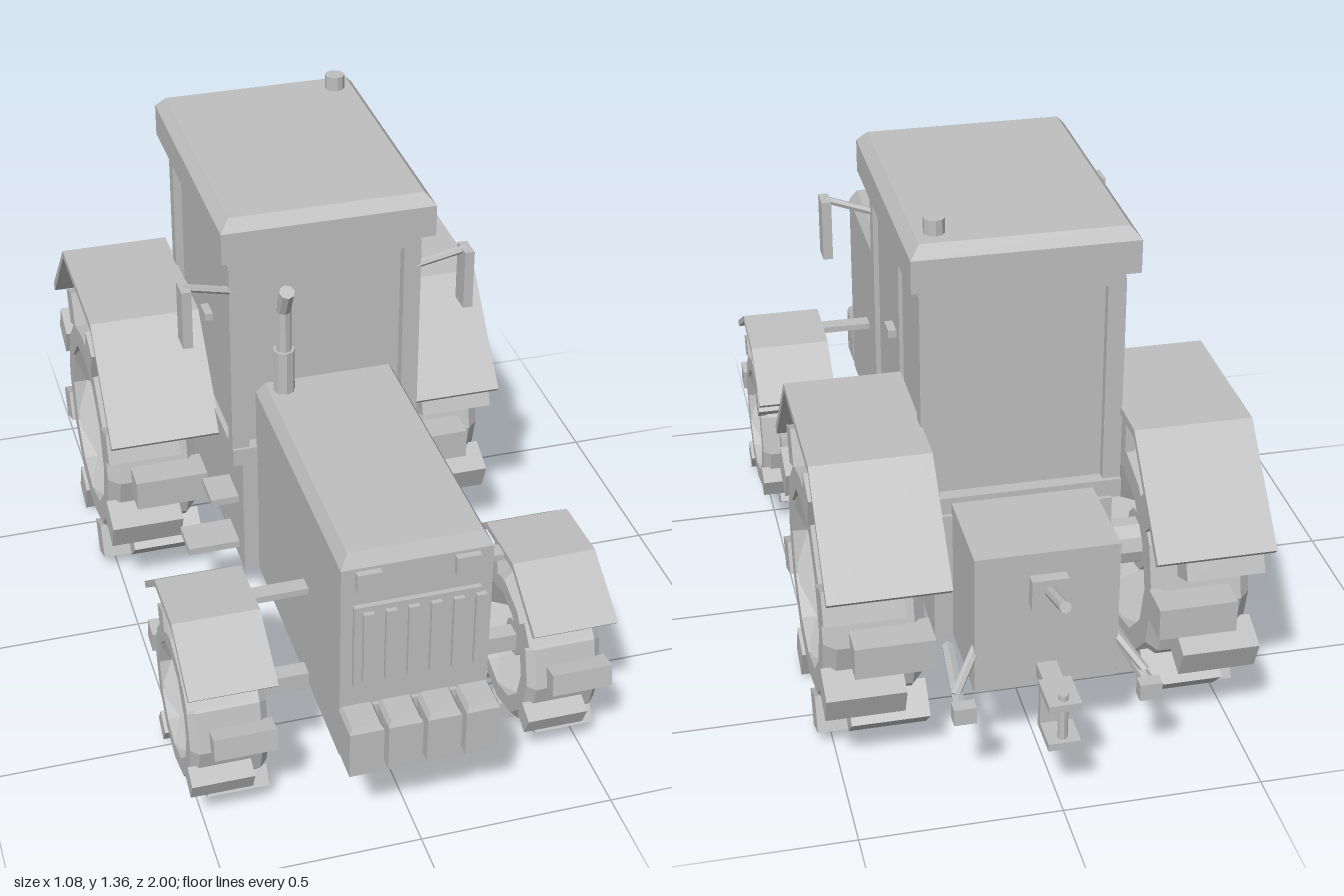
import * as THREE from 'three';

const grey = new THREE.MeshStandardMaterial({ color: 0xbfbfbf, flatShading: true });
grey.name = 'plain grey';

function add(parent, name, geometry, x = 0, y = 0, z = 0) {
  const mesh = new THREE.Mesh(geometry, grey);
  mesh.name = name;
  mesh.position.set(x, y, z);
  parent.add(mesh);
  return mesh;
}

// box given by its min and max on each axis
function block(parent, name, x0, x1, y0, y1, z0, z1) {
  return add(parent, name, new THREE.BoxGeometry(x1 - x0, y1 - y0, z1 - z0),
    (x0 + x1) / 2, (y0 + y1) / 2, (z0 + z1) / 2);
}

// block whose upper rim is chamfered
function chamferedBlock(parent, name, x0, x1, y0, y1, z0, z1, c, drop) {
  block(parent, name, x0, x1, y0, y1 - drop, z0, z1);
  const top = new THREE.BoxGeometry(x1 - x0, drop, z1 - z0);
  const p = top.attributes.position;
  for (let i = 0; i < p.count; i++) {
    if (p.getY(i) > 0) {
      p.setX(i, p.getX(i) - Math.sign(p.getX(i)) * c);
      p.setZ(i, p.getZ(i) - Math.sign(p.getZ(i)) * c);
    }
  }
  add(parent, name + 'Top', top, (x0 + x1) / 2, y1 - drop / 2, (z0 + z1) / 2);
}

// round or square rod between two points
function rod(parent, name, a, b, r, sides = 8, r2 = r) {
  const from = new THREE.Vector3(...a), to = new THREE.Vector3(...b);
  const dir = to.clone().sub(from);
  const mesh = add(parent, name, new THREE.CylinderGeometry(r2, r, dir.length(), sides));
  mesh.position.copy(from).addScaledVector(dir, 0.5);
  mesh.quaternion.setFromUnitVectors(new THREE.Vector3(0, 1, 0), dir.normalize());
  return mesh;
}

function lathe(points, sides) {
  return new THREE.LatheGeometry(points.map(p => new THREE.Vector2(...p)), sides);
}

// wheel turning about x, with staggered tread lugs
function wheel(name, { R, tyre, hole, hub, width, lugs, lugWidth }) {
  const g = new THREE.Group();
  g.name = name;
  const h = width / 2 - 0.008, b = tyre * 0.09;
  const body = add(g, 'tyre', lathe([
    [hole, -h * 0.3], [hole, -h], [tyre - b, -h], [tyre, -h + b],
    [tyre, h - b], [tyre - b, h], [hole, h], [hole, h * 0.3]], 12));
  body.rotation.z = -Math.PI / 2;
  const rim = add(g, 'rim', lathe([
    [0, -h * 0.25], [hole * 0.8, -h * 0.25], [hole * 1.12, -h * 0.95],
    [hole * 1.12, h * 0.95], [hole * 0.8, h * 0.25], [0, h * 0.25]], 6));
  rim.rotation.z = -Math.PI / 2;
  const cap = add(g, 'hub', new THREE.CylinderGeometry(hub, hub, h * 1.3, 12));
  cap.rotation.z = -Math.PI / 2;
  const root = tyre * 0.92, length = R - root;
  for (let i = 0; i < lugs; i++) {
    const a = (i / lugs) * Math.PI * 2;
    const lug = add(g, 'treadLug', new THREE.BoxGeometry(width * 0.74, length, lugWidth),
      (i % 2 ? 1 : -1) * width * 0.13,
      -Math.cos(a) * (root + length / 2), Math.sin(a) * (root + length / 2));
    lug.rotation.x = -a;
  }
  return g;
}

// folded sheet following a z,y path
function fender(parent, name, path, x0, x1, t) {
  const s = new THREE.Shape();
  path.forEach(([z, y], i) => (i ? s.lineTo(-z, y) : s.moveTo(-z, y)));
  [...path].reverse().forEach(([z, y], i) => {
    const end = i === 0 || i === path.length - 1;
    const inward = i === 0 ? 1 : -1;
    s.lineTo(-z - (end ? inward * t * 0.7 : 0), y - (end ? t * 0.7 : t));
  });
  const geo = new THREE.ExtrudeGeometry(s, { depth: x1 - x0, bevelEnabled: false });
  geo.rotateY(Math.PI / 2);
  add(parent, name, geo, x0, 0, 0);
}

export function createModel() {
  const model = new THREE.Group();
  model.name = 'tractor';

  // body
  chamferedBlock(model, 'hood', -0.185, 0.185, 0.24, 0.835, 0.13, 0.905, 0.02, 0.035);
  block(model, 'chassis', -0.225, 0.225, 0.24, 0.59, -0.56, 0.14);
  block(model, 'rearHousing', -0.178, 0.178, 0.24, 0.62, -0.81, -0.5);
  block(model, 'fuelTank', 0.18, 0.275, 0.285, 0.445, 0.145, 0.325);
  block(model, 'fuelTankLid', 0.18, 0.265, 0.445, 0.46, 0.155, 0.315);

  // grille and headlights
  block(model, 'grillePanel', -0.155, 0.155, 0.455, 0.695, 0.9, 0.918);
  for (let i = 0; i < 6; i++) {
    const x = -0.1375 + i * 0.055;
    block(model, 'grilleBar', x + 0.015 - 0.013, x + 0.028, 0.475, 0.68, 0.915, 0.93);
  }
  for (const s of [-1, 1]) {
    block(model, 'headlight', s * 0.12 - 0.03, s * 0.12 + 0.03, 0.742, 0.792, 0.9, 0.922);
  }

  // front weights
  block(model, 'weightCarrier', -0.185, 0.185, 0.25, 0.39, 0.89, 0.915);
  for (let i = 0; i < 4; i++) {
    const x = -0.1875 + i * 0.0967;
    chamferedBlock(model, 'frontWeight', x, x + 0.085, 0.255, 0.4, 0.905, 1, 0.008, 0.015);
  }

  // cab
  block(model, 'cabBase', -0.25, 0.25, 0.585, 0.635, -0.55, 0.142);
  block(model, 'cabGlass', -0.228, 0.228, 0.63, 1.18, -0.515, 0.105);
  block(model, 'cabHeader', -0.248, 0.248, 1.165, 1.215, -0.538, 0.135);
  for (const s of [-1, 1]) {
    const inner = s * 0.205, outer = s * 0.25;
    const [x0, x1] = [Math.min(inner, outer), Math.max(inner, outer)];
    block(model, 'frontPillar', x0, x1, 0.63, 1.18, 0.092, 0.135);
    block(model, 'rearPillar', x0, x1, 0.63, 1.18, -0.538, -0.495);
    block(model, 'door', s * 0.23 - 0.008, s * 0.23 + 0.008, 0.64, 1.155, -0.2, 0.085);
    block(model, 'doorHandle', s * 0.247 - 0.012, s * 0.247 + 0.012, 0.885, 0.905, -0.16, -0.105);
  }
  chamferedBlock(model, 'roof', -0.275, 0.275, 1.208, 1.322, -0.572, 0.17, 0.025, 0.03);
  add(model, 'beacon', new THREE.CylinderGeometry(0.026, 0.026, 0.045, 10), 0.203, 1.338, -0.488);

  // exhaust
  rod(model, 'exhaustMuffler', [-0.125, 0.82, 0.19], [-0.125, 0.955, 0.19], 0.028);
  rod(model, 'exhaustPipe', [-0.125, 0.95, 0.19], [-0.125, 1.08, 0.19], 0.02);
  rod(model, 'exhaustTip', [-0.125, 1.065, 0.187], [-0.125, 1.14, 0.225], 0.02);

  // wheels
  const rear = { R: 0.385, tyre: 0.315, hole: 0.225, hub: 0.08, width: 0.265, lugs: 16, lugWidth: 0.085 };
  const front = { R: 0.25, tyre: 0.212, hole: 0.15, hub: 0.05, width: 0.212, lugs: 11, lugWidth: 0.06 };
  for (const s of [-1, 1]) {
    const rw = wheel('rearWheel', rear);
    rw.position.set(s * 0.4075, 0.385, -0.45);
    const fw = wheel('frontWheel', front);
    fw.position.set(s * 0.432, 0.25, 0.612);
    if (s < 0) rw.rotation.y = fw.rotation.y = Math.PI;
    model.add(rw, fw);
  }
  block(model, 'frontAxle', -0.4, 0.4, 0.225, 0.275, 0.59, 0.635);
  rod(model, 'rearAxle', [-0.38, 0.385, -0.45], [0.38, 0.385, -0.45], 0.06, 10);

  for (const s of [-1, 1]) {
    const span = (a, b) => (s > 0 ? [a, b] : [-b, -a]);

    // fenders
    fender(model, 'rearFender', [[-0.02, 0.585], [-0.25, 0.835], [-0.66, 0.835], [-0.89, 0.6]],
      ...span(0.245, 0.54), 0.022);
    fender(model, 'frontFender', [[0.86, 0.455], [0.69, 0.555], [0.5, 0.545], [0.36, 0.435]],
      ...span(0.322, 0.54), 0.018);
    block(model, 'fenderBracket', ...span(0.17, 0.36), 0.525, 0.542, 0.59, 0.632);

    // steps
    block(model, 'lowerStep', ...span(0.2, 0.365), 0.275, 0.295, -0.02, 0.085);
    block(model, 'upperStep', ...span(0.2, 0.3), 0.425, 0.445, -0.02, 0.085);

    // mirrors
    rod(model, 'mirrorArm', [s * 0.235, 1.105, 0.125], [s * 0.365, 1.145, 0.145], 0.01, 6);
    block(model, 'mirror', ...span(0.353, 0.378), 0.988, 1.148, 0.115, 0.175);

    // lower hitch arms
    rod(model, 'hitchArm', [s * 0.21, 0.27, -0.65], [s * 0.235, 0.27, -0.92], 0.016, 6);
    rod(model, 'hitchStrut', [s * 0.17, 0.36, -0.79], [s * 0.235, 0.28, -0.86], 0.012, 6);
    block(model, 'hitchEnd', ...span(0.2, 0.255), 0.25, 0.295, -0.94, -0.905);
  }

  // drawbar and top link
  block(model, 'drawbar', -0.025, 0.025, 0.265, 0.305, -0.93, -0.78);
  block(model, 'hitchPlate', -0.04, 0.04, 0.185, 0.205, -1, -0.89);
  block(model, 'hitchPlateTop', -0.04, 0.04, 0.295, 0.315, -1, -0.89);
  block(model, 'hitchBack', -0.04, 0.04, 0.19, 0.31, -0.915, -0.895);
  rod(model, 'hitchPin', [0, 0.175, -0.975], [0, 0.33, -0.975], 0.013, 8);
  block(model, 'linkBracket', -0.045, 0.045, 0.48, 0.56, -0.84, -0.8);
  rod(model, 'topLink', [0, 0.525, -0.83], [0, 0.575, -0.975], 0.015, 8);

  return model;
}
